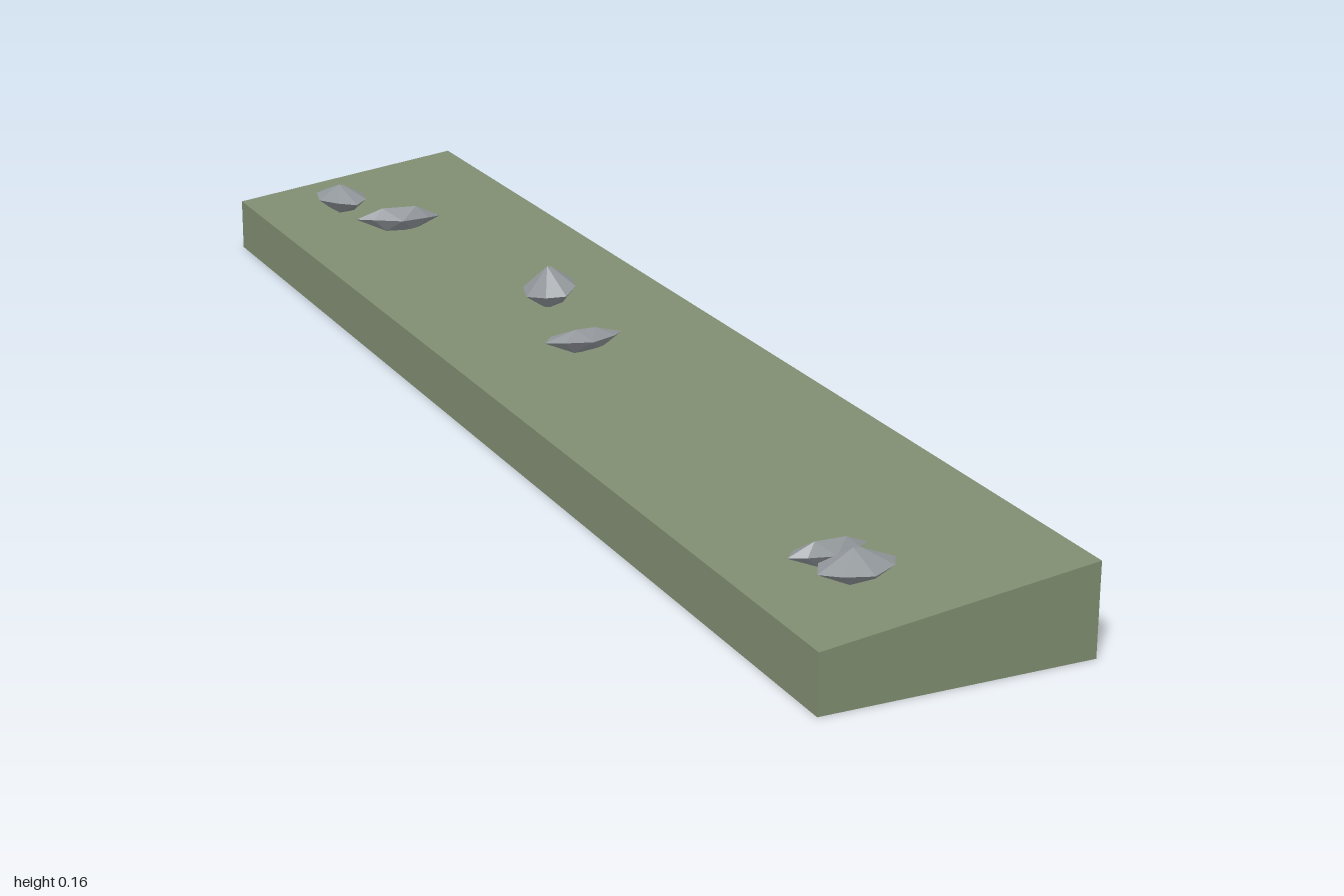
import * as THREE from 'three';
import { ConvexGeometry } from 'three/addons/geometries/ConvexGeometry.js';

const grass = new THREE.MeshStandardMaterial({ color: 0x7f8c70 });
grass.name = 'mossGreen';
const stone = new THREE.MeshStandardMaterial({ color: 0x92979b, flatShading: true });
stone.name = 'stoneGrey';

// Faceted pebble: an uneven rim, a small lower ring and a short ridge on top.
function rock({ x, z, rx, rz, rim, top, bottom, tilt = 0, turn = 0, px = 0, pz = 0, ridge = 0.1 }) {
  const points = [];
  const wobble = [1, 0.94, 1, 0.92, 1, 0.95, 0.98, 0.93];
  for (let i = 0; i < 8; i++) {
    const a = (i / 8) * Math.PI * 2;
    const c = Math.cos(a) * wobble[i], s = Math.sin(a) * wobble[(i + 2) % 8];
    points.push(new THREE.Vector3(c * rx, rim + tilt * c + (i % 2 ? 0.002 : 0), s * rz));
    if (i % 2) points.push(new THREE.Vector3(c * rx * 0.5, bottom + tilt * c * 0.5, s * rz * 0.5));
  }
  for (const side of [-1, 1]) {
    points.push(new THREE.Vector3(px + side * ridge * rx, top - (side > 0 ? 0.002 : 0), pz));
  }
  points.push(new THREE.Vector3(0, bottom, 0));
  const mesh = new THREE.Mesh(new ConvexGeometry(points), stone);
  mesh.position.set(x, 0, z);
  mesh.rotation.y = turn;
  return mesh;
}

export function createModel() {
  const model = new THREE.Group();
  model.name = 'slopedGroundStrip';

  // Long wedge of ground, higher on the +x side
  const profile = new THREE.Shape([
    new THREE.Vector2(-0.187, 0), new THREE.Vector2(0.187, 0),
    new THREE.Vector2(0.187, 0.125), new THREE.Vector2(-0.187, 0.08),
  ]);
  const groundGeometry = new THREE.ExtrudeGeometry(profile, { depth: 2, bevelEnabled: false });
  groundGeometry.translate(0, 0, -1);
  const ground = new THREE.Mesh(groundGeometry, grass);
  ground.name = 'ground';
  model.add(ground);

  // Scattered stones, from back to front
  const rocks = new THREE.Group();
  rocks.name = 'rocks';
  [
    { x: -0.068, z: -0.84, rx: 0.04, rz: 0.057, rim: 0.115, top: 0.137, bottom: 0.095, turn: 0.1 },
    { x: -0.032, z: -0.677, rx: 0.07, rz: 0.024, rim: 0.119, top: 0.139, bottom: 0.1, tilt: -0.004, turn: -0.06, pz: 0.007, ridge: 0.4 },
    { x: 0.027, z: -0.215, rx: 0.039, rz: 0.05, rim: 0.127, top: 0.161, bottom: 0.104, tilt: 0.008, turn: 0.1 },
    { x: -0.012, z: -0.01, rx: 0.064, rz: 0.027, rim: 0.118, top: 0.134, bottom: 0.1, tilt: -0.002, turn: 0.12, pz: 0.006, ridge: 0.25 },
    { x: -0.072, z: 0.81, rx: 0.056, rz: 0.022, rim: 0.112, top: 0.13, bottom: 0.097, turn: 0.06, pz: 0.007, ridge: 0.4 },
    { x: -0.067, z: 0.872, rx: 0.056, rz: 0.038, rim: 0.115, top: 0.139, bottom: 0.099, turn: 0.1 },
  ].forEach((spec, i) => {
    const mesh = rock(spec);
    mesh.name = `rock${i + 1}`;
    rocks.add(mesh);
  });
  model.add(rocks);
  return model;
}
